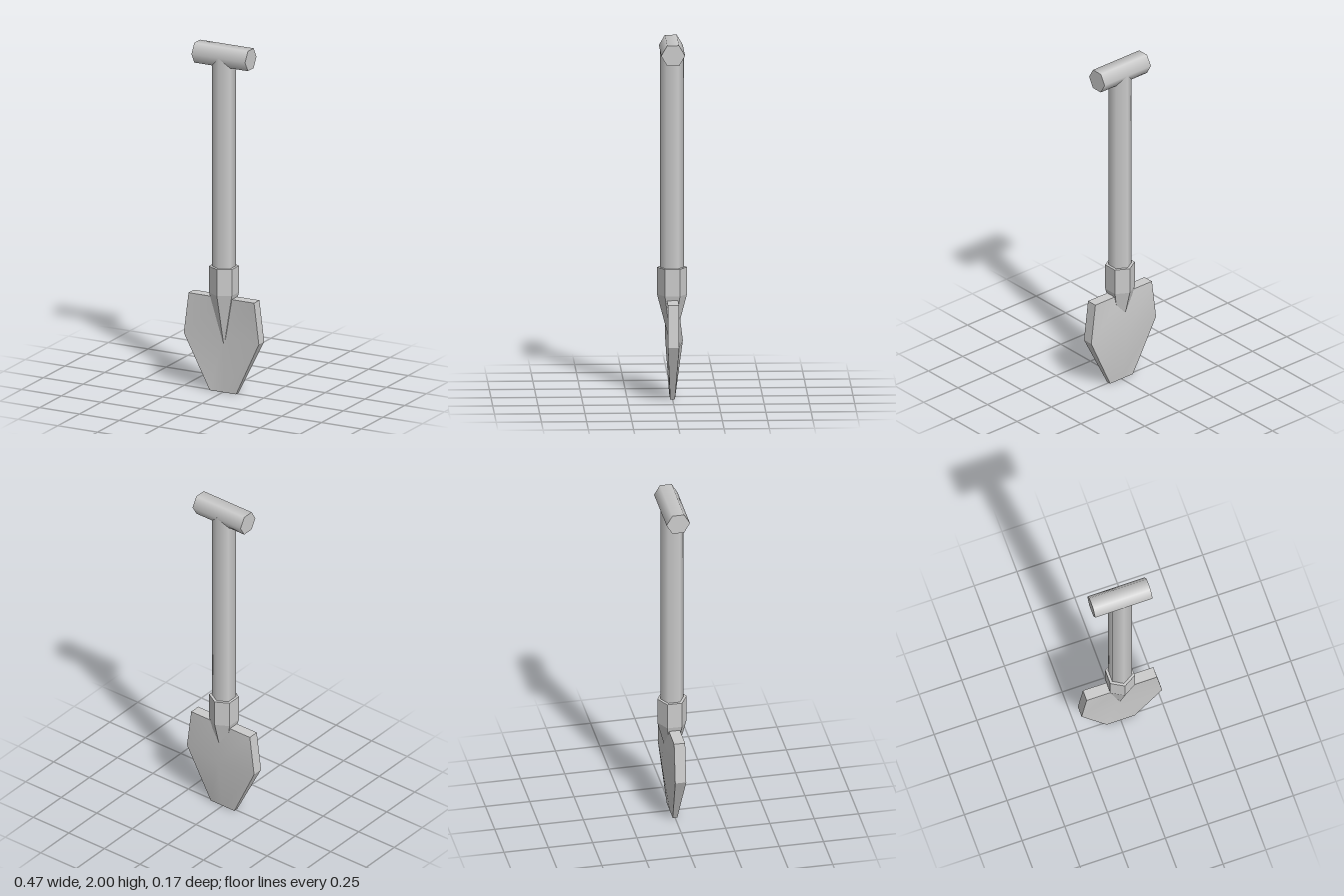
import * as THREE from 'three';
import { toCreasedNormals } from 'three/addons/utils/BufferGeometryUtils.js';

const smooth = new THREE.MeshStandardMaterial({ color: 0xcccccc });
const faceted = new THREE.MeshStandardMaterial({ color: 0xcccccc, flatShading: true });

function addPart(group, name, geometry, material) {
  const mesh = new THREE.Mesh(geometry, material);
  mesh.name = name;
  group.add(mesh);
  return mesh;
}

// Dished blade: six-point rings from bottom to top, bent back along the middle
function bladeGeometry() {
  const rings = [
    // y, half width, half thickness, bend of the middle
    [0, 0.083, 0.013, 0],
    [0.315, 0.236, 0.031, -0.029],
    [0.55, 0.206, 0.031, 0],
  ];
  const positions = [];
  for (const [y, w, t, bend] of rings) {
    positions.push(-w, y, t, 0, y, t + bend, w, y, t);
    positions.push(w, y, -t, 0, y, -t + bend, -w, y, -t);
  }
  const index = [];
  for (let r = 0; r < rings.length - 1; r++) {
    for (let i = 0; i < 6; i++) {
      const a = r * 6 + i, b = r * 6 + (i + 1) % 6;
      index.push(a, b, b + 6, a, b + 6, a + 6);
    }
  }
  // Bottom and top edges
  const top = (rings.length - 1) * 6;
  for (let i = 1; i < 5; i++) {
    index.push(0, i + 1, i, top, top + i, top + i + 1);
  }
  const geometry = new THREE.BufferGeometry();
  geometry.setAttribute('position', new THREE.Float32BufferAttribute(positions, 3));
  geometry.setIndex(index);
  return toCreasedNormals(geometry, 0.45);
}

export function createModel() {
  const group = new THREE.Group();
  group.name = 'shovel';

  // Hexagonal cross grip
  const grip = new THREE.CylinderGeometry(0.066, 0.066, 0.337, 6).rotateZ(Math.PI / 2);
  addPart(group, 'grip', grip, smooth).position.y = 1.943;

  // Hexagonal shaft, its top buried in the grip
  const shaft = new THREE.CylinderGeometry(0.066, 0.066, 1.245, 6);
  addPart(group, 'shaft', shaft, smooth).position.y = 1.3225;

  // Socket: hexagonal collar running down to a point in the blade
  const profile = [[0, 0.26], [0.083, 0.575], [0.083, 0.727], [0, 0.727]]
    .map(([r, y]) => new THREE.Vector2(r, y));
  addPart(group, 'socket', new THREE.LatheGeometry(profile, 6), faceted);

  addPart(group, 'blade', bladeGeometry(), smooth);
  return group;
}
